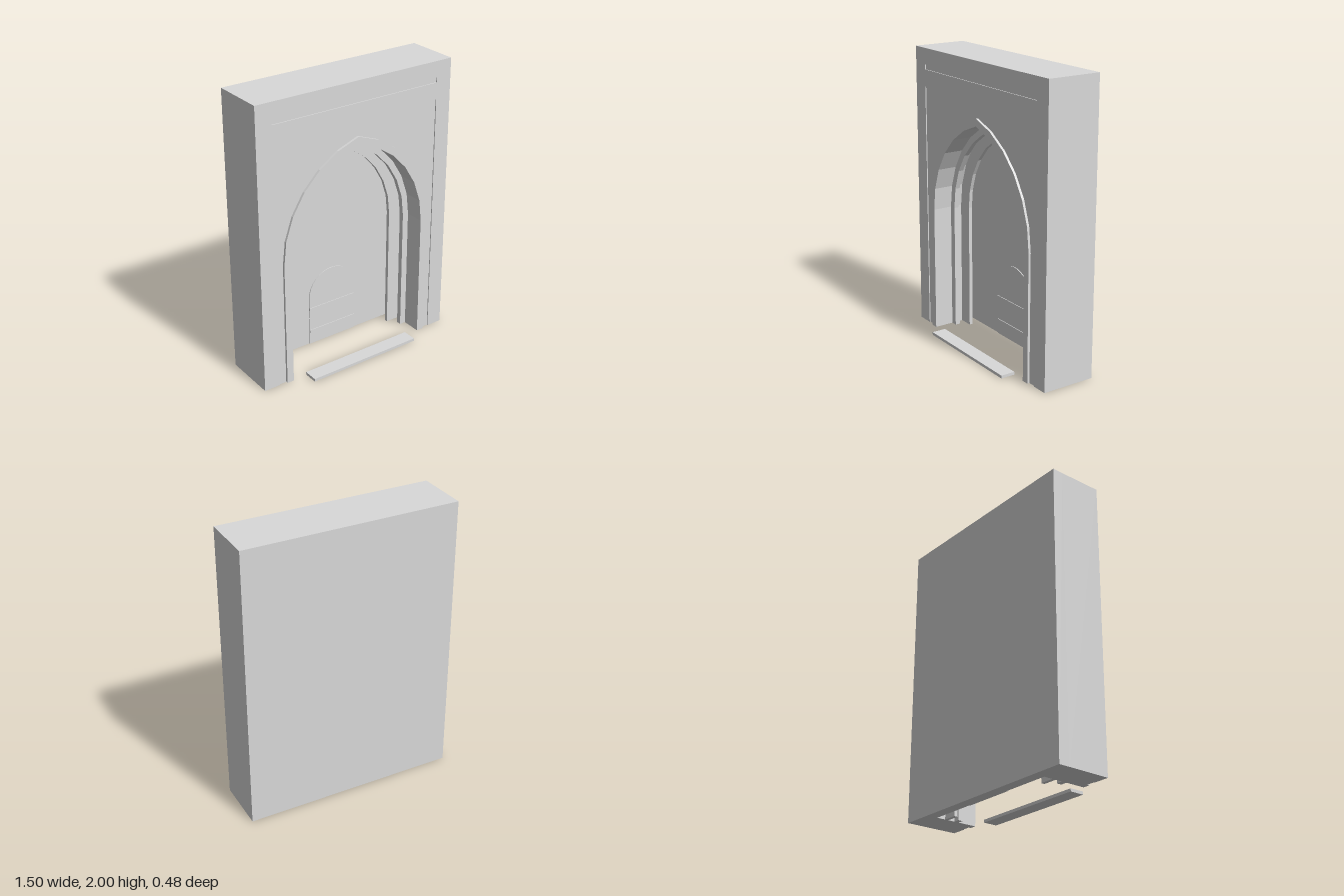
import * as THREE from 'three';

const stone = new THREE.MeshStandardMaterial({ color: 0xd9d9d9 });
stone.name = 'pale stone';

const SPRING = 0.884; // height where the arches start to curve
const SEGMENTS = 6;

// Pointed arch outline from the left foot over the apex to the right foot
function archPoints(half, apex) {
  const rise = apex - SPRING;
  const r = (half * half + rise * rise) / (2 * half);
  const cx = half - r;
  const end = Math.atan2(rise, -cx);
  const right = [[half, 0]];
  for (let i = 0; i <= SEGMENTS; i++) {
    const a = (end * i) / SEGMENTS;
    right.push([cx + r * Math.cos(a), SPRING + r * Math.sin(a)]);
  }
  right[right.length - 1][0] = 0;
  const left = right.slice(0, -1).map(([x, y]) => [-x, y]);
  return [...left, ...right.reverse()];
}

const toVectors = (points) => points.map(([x, y]) => new THREE.Vector2(x, y));

// Outer outline, with an opening that is cut up from the floor
function notched(outer, opening) {
  return new THREE.Shape(toVectors([...outer, ...opening.slice().reverse()]));
}

const rect = (half, top) => [[-half, 0], [-half, top], [half, top], [half, 0]];

export function createModel() {
  const group = new THREE.Group();

  const add = (name, geometry) => {
    const mesh = new THREE.Mesh(geometry, stone);
    mesh.name = name;
    group.add(mesh);
    return mesh;
  };
  const box = (name, x0, x1, y0, y1, z0, z1) =>
    add(name, new THREE.BoxGeometry(x1 - x0, y1 - y0, z1 - z0))
      .position.set((x0 + x1) / 2, (y0 + y1) / 2, (z0 + z1) / 2);
  const extrude = (name, shape, z0, z1) =>
    add(name, new THREE.ExtrudeGeometry(shape, {
      depth: z1 - z0, bevelEnabled: false, curveSegments: 8,
    })).position.set(0, 0, z0);

  const opening = archPoints(0.53, 1.578);

  // Back of the niche and the thick wall around it
  box('backWall', -0.75, 0.75, 0, 2, -0.242, -0.164);
  extrude('wallBody', notched(rect(0.75, 2), opening), -0.164, 0.131);

  // Raised border, leaving a sunken panel and a narrow sunken frieze
  const border = notched(rect(0.75, 2), rect(0.636, 1.736));
  border.holes.push(new THREE.Path(toVectors(
    [[-0.636, 1.853], [0.636, 1.853], [0.636, 1.888], [-0.636, 1.888]])));
  extrude('wallBorder', border, 0.131, 0.138);

  // Arch moulding on the face and two narrower ribs inside the niche
  extrude('archMoulding', notched(archPoints(0.58, 1.63), opening), 0.131, 0.148);
  extrude('outerRib', notched(opening, archPoints(0.485, 1.533)), -0.025, 0.01);
  extrude('innerRib', notched(opening, archPoints(0.43, 1.483)), -0.1, -0.075);

  // Small round-topped door with two straps
  const door = new THREE.Shape();
  door.moveTo(-0.19, 0);
  door.lineTo(0.19, 0);
  door.lineTo(0.19, 0.365);
  door.absarc(0, 0.365, 0.19, 0, Math.PI, false);
  door.lineTo(-0.19, 0);
  extrude('door', door, -0.164, -0.158);
  for (const top of [0.112, 0.288]) {
    box('doorStrap', -0.19, 0.19, top - 0.02, top, -0.158, -0.153);
  }

  // Low step in front of the niche
  box('step', -0.425, 0.425, 0, 0.02, 0.14, 0.242);

  return group;
}
